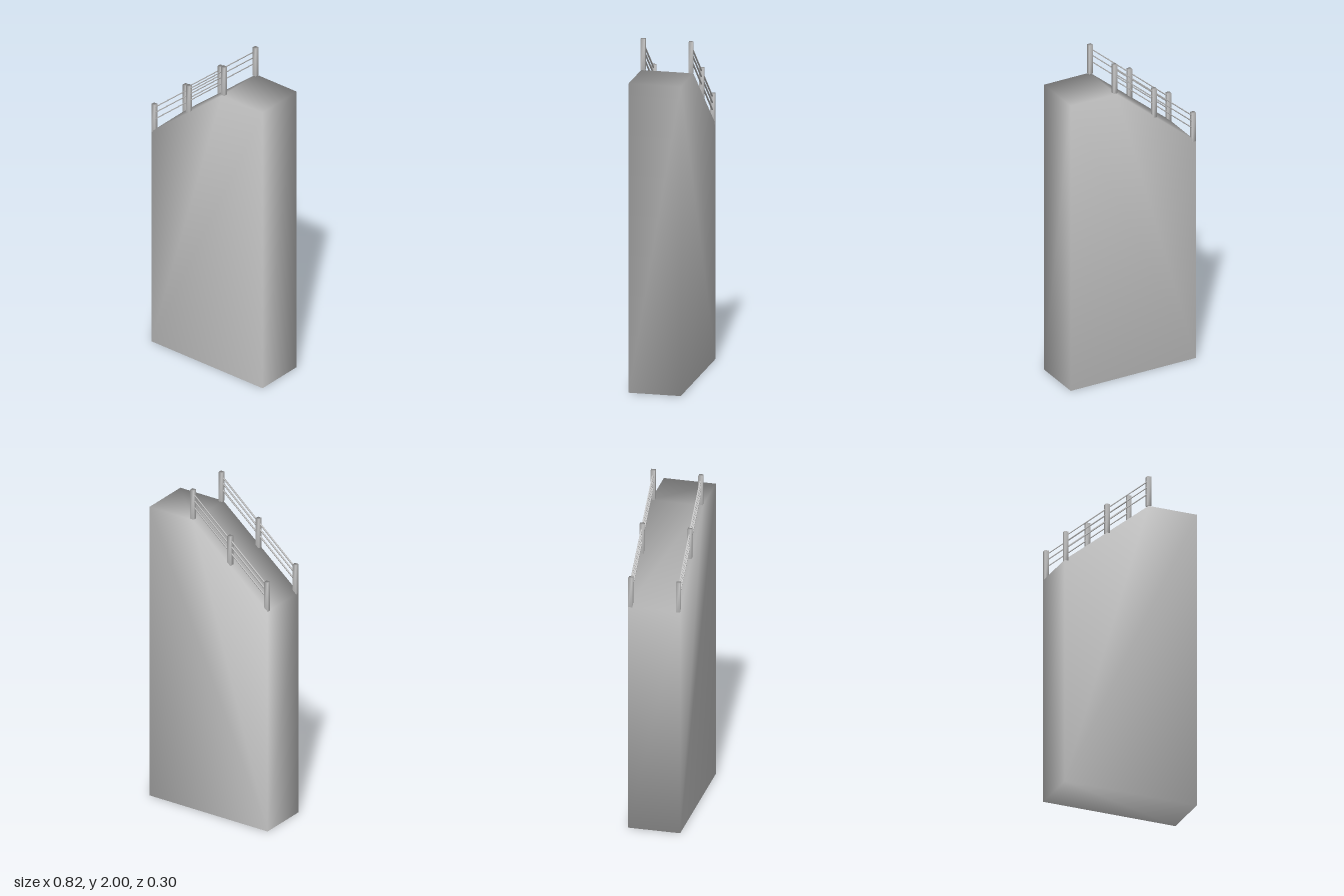
import * as THREE from 'three';
import { mergeVertices } from 'three/addons/utils/BufferGeometryUtils.js';

const material = new THREE.MeshStandardMaterial({ color: 0xcccccc });

// Weld corners so the shading runs smoothly over the edges
function smooth(geometry) {
  geometry.deleteAttribute('normal');
  geometry.deleteAttribute('uv');
  const welded = mergeVertices(geometry, 1e-4);
  welded.computeVertexNormals();
  return welded;
}

function addMesh(parent, name, geometry) {
  const mesh = new THREE.Mesh(smooth(geometry), material);
  mesh.name = name;
  parent.add(mesh);
  return mesh;
}

export function createModel() {
  const model = new THREE.Group();
  model.name = 'slopedBlockWithRailings';
  const halfDepth = 0.152;

  // Tall block with a sloping shoulder
  const outline = [[-0.408, 0], [0.408, 0], [0.408, 1.814], [0.11, 1.814], [-0.408, 1.382]];
  const shape = new THREE.Shape(outline.map(([x, y]) => new THREE.Vector2(x, y)));
  const body = new THREE.ExtrudeGeometry(shape, { depth: 2 * halfDepth, bevelEnabled: false });
  body.translate(0, 0, -halfDepth);
  addMesh(model, 'body', body);

  // A railing along both edges of the slope
  const postWidth = 0.025, postHeight = 0.182;
  const posts = [[-0.396, 1.38], [-0.141, 1.599], [0.115, 1.818]];
  const [start, end] = [posts[0], posts[2]];
  const run = end[0] - start[0], rise = end[1] - start[1];

  for (const side of [-1, 1]) {
    const railing = new THREE.Group();
    railing.name = side > 0 ? 'frontRailing' : 'backRailing';
    railing.position.z = side * (halfDepth - postWidth / 2);
    model.add(railing);

    for (const [x, y] of posts) {
      const post = addMesh(railing, 'post', new THREE.BoxGeometry(postWidth, postHeight, postWidth));
      post.position.set(x, y + postHeight / 2, 0);
    }
    for (const height of [0.08, 0.122, 0.158]) {
      const rail = addMesh(railing, 'rail', new THREE.BoxGeometry(Math.hypot(run, rise), 0.006, 0.008));
      rail.position.set((start[0] + end[0]) / 2, (start[1] + end[1]) / 2 + height, 0);
      rail.rotation.z = Math.atan2(rise, run);
    }
  }
  return model;
}
